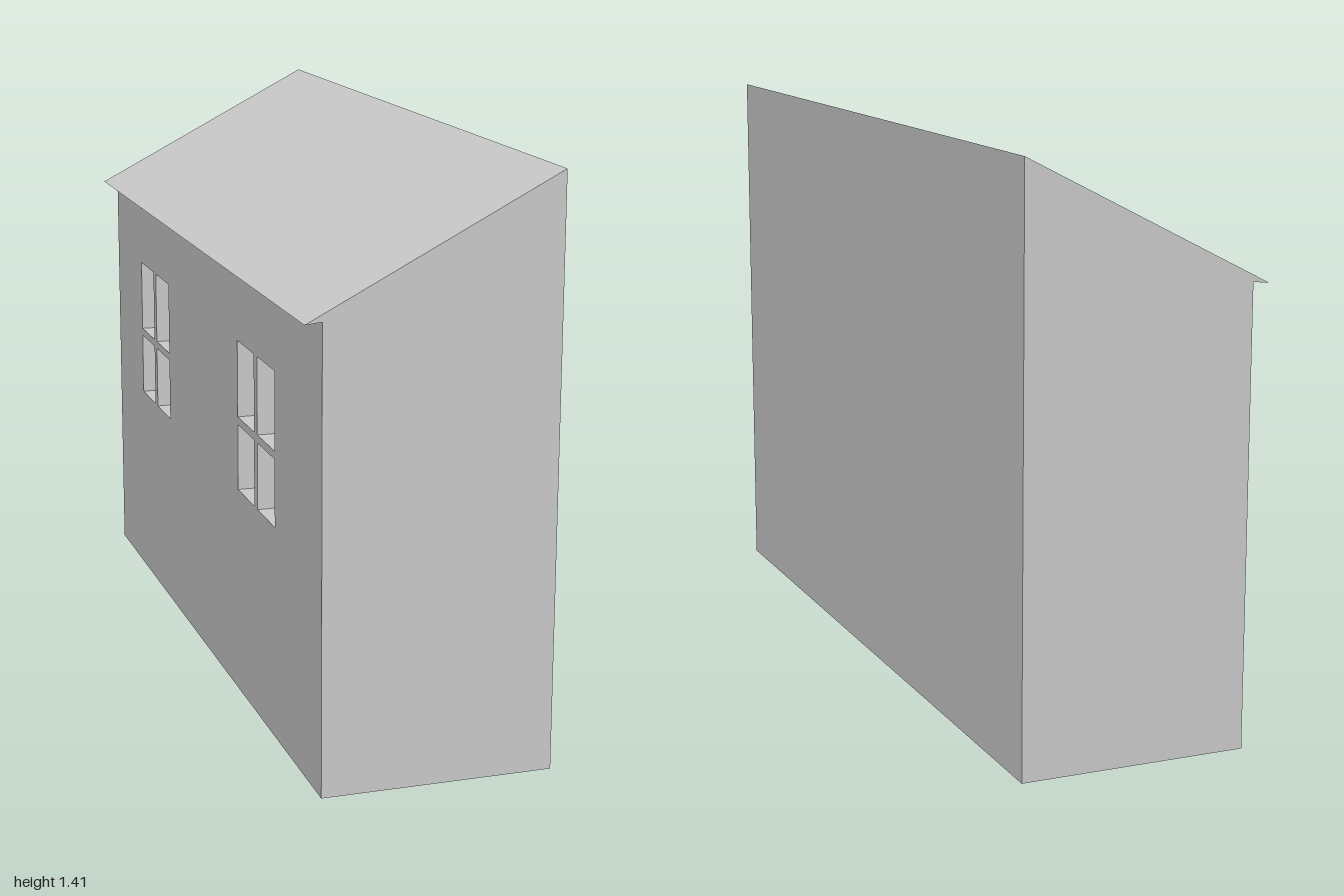
import * as THREE from 'three';

const WALL_X = -0.26, RECESS = 0.09, BACK_X = WALL_X + RECESS, EAVE_Y = 1.104;

// Rectangular outline from two opposite corners
function rectPath(Type, u0, v0, u1, v1) {
  return new Type([[u0, v0], [u1, v0], [u1, v1], [u0, v1]].map(p => new THREE.Vector2(...p)));
}

export function createModel() {
  const group = new THREE.Group();
  const material = new THREE.MeshStandardMaterial({ color: 0xcccccc, flatShading: true });
  const add = (name, geometry) => {
    const mesh = new THREE.Mesh(geometry, material);
    mesh.name = name;
    group.add(mesh);
  };

  // Main block with the sloping roof and the small eave overhang
  const profile = new THREE.Shape([
    [BACK_X, 0], [0.3, 0], [0.3, 1.41], [-0.3, 1.1], [WALL_X, EAVE_Y], [BACK_X, EAVE_Y],
  ].map(p => new THREE.Vector2(...p)));
  const body = new THREE.ExtrudeGeometry(profile, { depth: 2, bevelEnabled: false });
  body.translate(0, 0, -1);
  add('bodyAndRoof', body);

  // Window wall: shape drawn in (z, y), with four panes per window
  const wallShape = rectPath(THREE.Shape, -1, 0, 1, EAVE_Y);
  for (const z of [-0.545, 0.475]) {
    for (const [z0, z1] of [[-0.16, -0.014], [0.014, 0.16]]) {
      for (const [y0, y1] of [[0.53, 0.697], [0.717, 0.91]]) {
        wallShape.holes.push(rectPath(THREE.Path, z + z0, y0, z + z1, y1));
      }
    }
  }
  const wall = new THREE.ExtrudeGeometry(wallShape, { depth: RECESS, bevelEnabled: false });
  wall.rotateY(-Math.PI / 2);
  wall.translate(BACK_X, 0, 0);
  add('windowWall', wall);

  return group;
}
